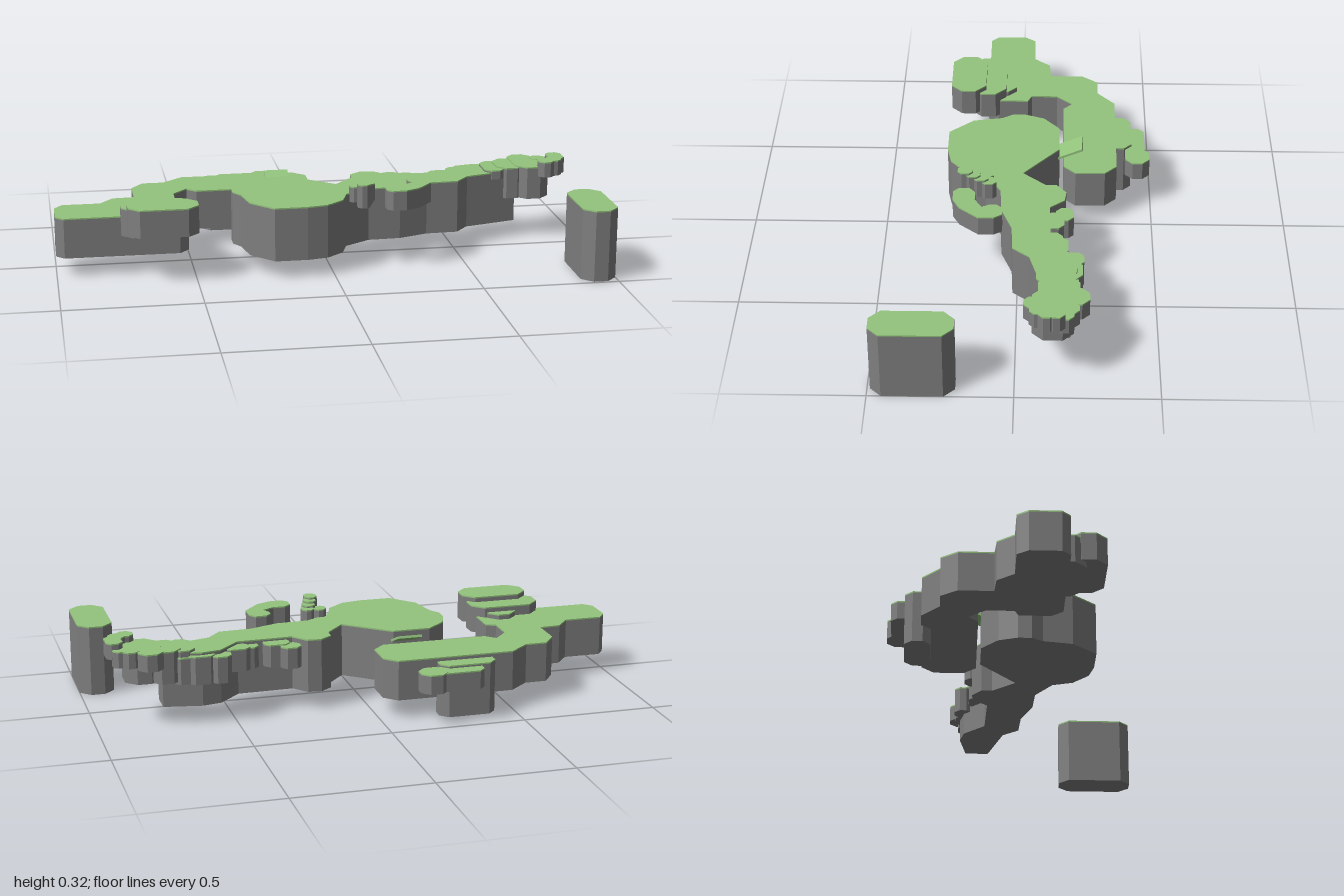
import * as THREE from 'three';

const grass = new THREE.MeshStandardMaterial({ color: 0x93c47d });
grass.name = 'grass green';
const rock = new THREE.MeshStandardMaterial({ color: 0x7f7f7f });
rock.name = 'rock grey';

const TURF = 0.005;

// flat extrusion of an x/z outline between two heights
function prism(points, y0, y1, material, name) {
  const shape = new THREE.Shape(points.map(([x, z]) => new THREE.Vector2(x, -z)));
  const geo = new THREE.ExtrudeGeometry(shape, { depth: y1 - y0, bevelEnabled: false });
  geo.rotateX(-Math.PI / 2);
  geo.translate(0, y0, 0);
  const mesh = new THREE.Mesh(geo, material);
  mesh.name = name;
  return mesh;
}

// rock slab with a thin grass cap
function island(name, points, y0, y1) {
  const g = new THREE.Group();
  g.name = name;
  g.add(prism(points, y0, y1 - TURF, rock, name + 'Rock'));
  g.add(prism(points, y1 - TURF, y1, grass, name + 'Grass'));
  return g;
}

// slab with cut corners, given by its centre and size on the ground
function block(name, x, z, width, depth, y0, y1) {
  const c = 0.3 * Math.min(width, depth);
  const w = width / 2;
  const d = depth / 2;
  const outline = [[c - w, -d], [w - c, -d], [w, c - d], [w, d - c],
    [w - c, d], [c - w, d], [-w, d - c], [-w, c - d]];
  return island(name, outline.map(([px, pz]) => [x + px, z + pz]), y0, y1);
}

export function createModel() {
  const model = new THREE.Group();
  model.name = 'floatingIslands';

  // hooked western island
  model.add(island('westIsland', [
    [-1, -0.01], [-0.97, -0.05], [-0.83, -0.05], [-0.78, -0.11], [-0.7, -0.115], [-0.7, -0.24],
    [-0.655, -0.3], [-0.575, -0.3], [-0.5, -0.365], [-0.065, -0.365], [-0.02, -0.32], [-0.02, -0.21],
    [-0.065, -0.165], [-0.46, -0.165], [-0.495, -0.2], [-0.55, -0.14], [-0.55, -0.04],
    [-0.515, -0.025], [-0.515, 0.09], [-0.55, 0.13], [-0.97, 0.13], [-1, 0.1]], 0.07, 0.22));

  // large central island with its eastern arm
  model.add(island('centralIsland', [
    [-0.345, -0.02], [-0.32, -0.09], [-0.25, -0.15], [-0.11, -0.15], [-0.01, -0.065],
    [0.05, -0.015], [0.125, -0.1], [0.125, -0.14], [0.17, -0.175], [0.22, -0.17],
    [0.265, -0.115], [0.47, -0.12], [0.55, -0.2], [0.62, -0.215], [0.76, -0.19],
    [0.76, -0.1], [0.56, -0.045], [0.51, 0.015], [0.39, 0.02], [0.28, 0.06], [0.16, 0.065],
    [0.065, 0.125], [0.04, 0.2], [-0.025, 0.255], [-0.1, 0.27], [-0.22, 0.27],
    [-0.3, 0.18], [-0.32, 0.07], [-0.345, 0.03]], 0.065, 0.265));

  // western terraces
  model.add(
    block('westTerraceBack', -0.605, 0.075, 0.11, 0.11, 0.155, 0.24),
    block('westTerraceMiddle', -0.632, 0.13, 0.265, 0.14, 0.155, 0.26),
    block('westTerraceFront', -0.617, 0.207, 0.255, 0.135, 0.175, 0.28));

  // northern ledges
  model.add(
    block('northLedge', -0.315, -0.378, 0.21, 0.095, 0.01, 0.205),
    block('northShelf', -0.265, -0.438, 0.19, 0.075, 0.125, 0.195),
    block('northShelfTip', -0.17, -0.446, 0.1, 0.092, 0.125, 0.197));

  // lone pillar
  model.add(block('pillar', 0.935, 0.345, 0.13, 0.29, 0, 0.265));

  // stones stepping along the back of the eastern arm
  const backPath = [[0.285, -0.17], [0.33, -0.135], [0.435, -0.13], [0.48, -0.15], [0.55, -0.205], [0.62, -0.2], [0.68, -0.185]];
  backPath.forEach(([x, z], i) => {
    model.add(block('backStone', x, z, i % 2 ? 0.095 : 0.075, 0.065, i < 4 ? 0.17 : 0.15, i % 2 ? 0.255 : 0.25));
  });

  // large stones at the eastern tip
  model.add(
    block('eastStone', 0.68, -0.14, 0.08, 0.14, 0.24, 0.275),
    block('eastStone', 0.745, -0.15, 0.11, 0.145, 0.16, 0.28),
    block('eastStone', 0.805, -0.2, 0.09, 0.11, 0.22, 0.285),
    block('eastStone', 0.825, -0.13, 0.13, 0.145, 0.16, 0.285));

  // pebbles fanned around the eastern tip
  for (let i = 0; i < 6; i++) {
    const a = -1.2 + i * 0.48;
    const top = i < 2 ? 0.287 : 0.31;
    model.add(block('eastPebble', 0.84 + 0.085 * Math.cos(a), -0.125 + 0.07 * Math.sin(a), 0.06, 0.06, top - 0.06, top));
  }

  // pebble trail in front of the arm
  for (let i = 0; i < 4; i++) {
    model.add(block('frontPebble', 0.15 - 0.011 * i, 0.108 + 0.029 * i, 0.046, 0.055, 0.235, 0.3 + 0.0075 * i));
  }
  model.add(block('frontPebble', 0.1, 0.117, 0.045, 0.05, 0.235, 0.295));

  // crescent islet
  model.add(island('crescentIslet', [
    [0.32, 0.055], [0.36, 0.055], [0.38, 0.085], [0.38, 0.14], [0.32, 0.21],
    [0.27, 0.235], [0.22, 0.235], [0.2, 0.215], [0.2, 0.175], [0.225, 0.155], [0.27, 0.155],
    [0.315, 0.13], [0.3, 0.1], [0.3, 0.075]], 0.225, 0.3));

  // sloping grass ramp joining the two large islands
  const ramp = new THREE.Mesh(new THREE.BoxGeometry(0.09, 0.009, 0.125), grass);
  ramp.name = 'ramp';
  ramp.position.set(-0.148, 0.241, -0.178);
  ramp.rotation.x = 0.4;
  model.add(ramp);

  return model;
}
